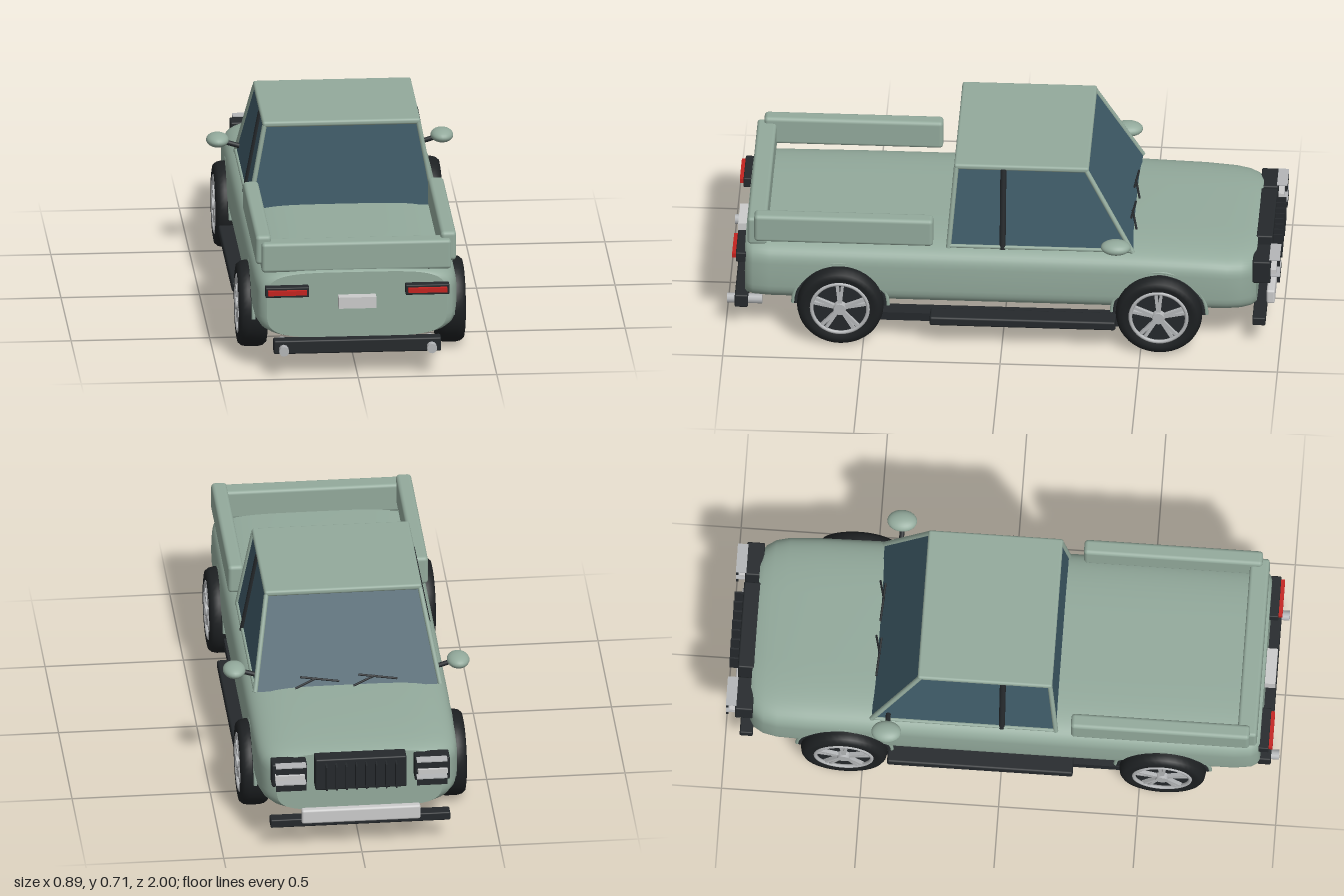
import * as THREE from 'three';
import { RoundedBoxGeometry } from 'three/addons/geometries/RoundedBoxGeometry.js';

const mat = (color, side = THREE.FrontSide) => new THREE.MeshStandardMaterial({ color, side });
const PAINT = mat(0x93aa9c);
const GLASS = mat(0x3f5b68);
const DARK = mat(0x25292c);
const TIRE = mat(0x1d2022, THREE.DoubleSide);
const METAL = mat(0xb4b6b8);
const LIGHT = mat(0xcfcfcb);
const RED = mat(0xc4231f);

export function createModel() {
  const model = new THREE.Group();
  model.name = 'pickupTruck';

  const add = (name, geometry, material, parent = model) => {
    const mesh = new THREE.Mesh(geometry, material);
    mesh.name = name;
    parent.add(mesh);
    return mesh;
  };
  // Box given by its extents on each axis; r rounds the edges
  const box = (name, [x0, x1], [y0, y1], [z0, z1], material, r = 0) => {
    const s = [x1 - x0, y1 - y0, z1 - z0];
    const g = r ? new RoundedBoxGeometry(...s, 3, r) : new THREE.BoxGeometry(...s);
    const m = add(name, g, material);
    m.position.set((x0 + x1) / 2, (y0 + y1) / 2, (z0 + z1) / 2);
    return m;
  };
  // The same box on both sides
  const pair = (name, [x0, x1], y, z, material, r) => {
    box(name, [x0, x1], y, z, material, r);
    box(name, [-x1, -x0], y, z, material, r);
  };
  // Round bar between two points
  const bar = (name, a, b, r, material) => {
    const p = new THREE.Vector3(...a), q = new THREE.Vector3(...b);
    const m = add(name, new THREE.CylinderGeometry(r, r, p.distanceTo(q), 10), material);
    m.position.copy(p).lerp(q, 0.5);
    m.quaternion.setFromUnitVectors(new THREE.Vector3(0, 1, 0), q.sub(p).normalize());
    return m;
  };

  add('body', bodyGeometry(), PAINT);

  // Cab: tapered glass block, roof, pillars
  const lo = { y: 0.385, x: 0.335, rear: 0.195, nose: -0.47 };
  const hi = { y: 0.69, x: 0.278, rear: 0.17, nose: -0.3 };
  const glass = new THREE.BoxGeometry(2, 2, 2);
  const gp = glass.attributes.position;
  for (let i = 0; i < gp.count; i++) {
    const e = gp.getY(i) > 0 ? hi : lo;
    gp.setXYZ(i, gp.getX(i) * e.x, e.y, gp.getZ(i) > 0 ? e.rear : e.nose);
  }
  glass.computeVertexNormals();
  add('cabGlass', glass, GLASS);
  box('roof', [-0.285, 0.285], [0.684, 0.706], [-0.308, 0.178], PAINT, 0.009);
  for (const s of [-1, 1]) {
    for (const end of ['rear', 'nose']) {
      bar('cornerPillar', [s * lo.x, lo.y, lo[end]], [s * hi.x, hi.y, hi[end]], 0.009, PAINT);
    }
    bar('doorPillar', [s * lo.x, lo.y, 0], [s * hi.x, hi.y, 0], 0.011, DARK);
    bar('beltTrim', [s * 0.335, 0.393, 0.195], [s * 0.335, 0.393, -0.47], 0.007, PAINT);

    // Side mirrors
    const mirror = add('mirror', new THREE.SphereGeometry(1, 24, 16), PAINT);
    mirror.scale.set(0.041, 0.025, 0.054);
    mirror.position.set(s * 0.405, 0.45, -0.412);
    bar('mirrorArm', [s * 0.325, 0.425, -0.41], [s * 0.39, 0.445, -0.41], 0.009, DARK);
  }
  // Wipers resting on the windscreen
  for (const x of [-0.02, 0.19]) {
    bar('wiperArm', [x, 0.395, -0.475], [x - 0.08, 0.425, -0.457], 0.004, DARK);
    bar('wiperBlade', [x - 0.02, 0.43, -0.455], [x - 0.16, 0.412, -0.464], 0.004, DARK);
  }

  // Cargo bed walls
  pair('bedSide', [0.306, 0.362], [0.4, 0.509], [0.25, 0.895], PAINT, 0.014);
  box('tailgate', [-0.342, 0.342], [0.377, 0.487], [0.85, 0.92], PAINT, 0.012);

  // Running boards
  pair('runningBoard', [0.33, 0.402], [0.092, 0.127], [-0.41, 0.26], DARK, 0.008);
  pair('sill', [0.3, 0.36], [0.086, 0.118], [-0.42, 0.44], DARK);

  // Tail end: bumper, exhausts, lamps, plate
  box('rearBumper', [-0.302, 0.302], [0.084, 0.135], [0.92, 0.968], DARK, 0.006);
  for (const s of [-1, 1]) {
    bar('exhaust', [s * 0.267, 0.103, 0.87], [s * 0.267, 0.103, 0.997], 0.018, METAL);
  }
  pair('tailLampHousing', [0.174, 0.332], [0.296, 0.334], [0.925, 0.962], DARK, 0.004);
  pair('tailLamp', [0.183, 0.323], [0.308, 0.325], [0.955, 0.976], RED);
  box('rearPlate', [-0.068, 0.068], [0.252, 0.294], [0.925, 0.968], LIGHT);

  // Nose: bumper, grille, headlamps
  box('frontBumper', [-0.325, 0.325], [0.085, 0.117], [-0.947, -0.9], DARK, 0.005);
  box('bumperGuard', [-0.215, 0.215], [0.11, 0.165], [-0.975, -0.945], LIGHT, 0.008);
  box('grille', [-0.165, 0.165], [0.24, 0.365], [-0.965, -0.905], DARK, 0.006);
  for (let i = 0; i < 8; i++) {
    const x = -0.126 + i * 0.036;
    box('grilleBar', [x - 0.003, x + 0.003], [0.255, 0.35], [-0.998, -0.96], DARK);
  }
  pair('headlampHousing', [0.195, 0.322], [0.262, 0.352], [-0.965, -0.9], DARK, 0.006);
  pair('headlamp', [0.205, 0.312], [0.298, 0.316], [-0.985, -0.96], LIGHT);
  for (const y of [0.273, 0.341]) {
    pair('headlampTrim', [0.2, 0.31], [y - 0.012, y + 0.012], [-0.998, -0.988], DARK);
    pair('headlampEdge', [0.2, 0.31], [y + 0.012, y + 0.016], [-0.998, -0.96], METAL);
  }

  // Wheels with their arches
  for (const s of [-1, 1]) {
    for (const z of [0.583, -0.566]) {
      const wheel = makeWheel(add);
      wheel.position.set(s * 0.357, 0.156, z);
      if (s < 0) wheel.rotation.y = Math.PI;
      model.add(wheel);
      const arch = (name, radius, tube, x, material) => {
        const m = add(name, new THREE.TorusGeometry(radius, tube, 8, 32, Math.PI), material);
        m.rotation.y = Math.PI / 2;
        m.position.set(s * x, 0.15, z);
      };
      arch('archLip', 0.171, 0.007, 0.36, PAINT);
      arch('archLiner', 0.16, 0.01, 0.358, DARK);
    }
  }
  return model;
}

// Body shell: superellipse sections lofted from tail to nose, with flat ends
function bodyGeometry() {
  const sections = [ // z, half width, top
    [0.93, 0.325, 0.378], [0.922, 0.343, 0.384], [0.9, 0.357, 0.39], [0.84, 0.366, 0.394],
    [0.5, 0.369, 0.396], [0, 0.369, 0.396], [-0.45, 0.369, 0.396], [-0.7, 0.367, 0.388],
    [-0.81, 0.363, 0.38], [-0.86, 0.352, 0.375], [-0.895, 0.33, 0.369], [-0.912, 0.3, 0.362],
  ];
  const n = 64, bottom = 0.133, pos = [], index = [];
  const pw = (v) => Math.sign(v) * Math.abs(v) ** 0.45;
  const ring = ([z, w, top]) => {
    for (let j = 0; j < n; j++) {
      const a = (j / n) * Math.PI * 2;
      pos.push(w * pw(Math.cos(a)), (top + bottom) / 2 + ((top - bottom) / 2) * pw(Math.sin(a)), z);
    }
  };
  sections.forEach(ring);
  for (let i = 0; i < sections.length - 1; i++) {
    for (let j = 0; j < n; j++) {
      const a = i * n + j, b = i * n + (j + 1) % n;
      index.push(a, a + n, b, b, a + n, b + n);
    }
  }
  for (const [s, flip] of [[sections[0], false], [sections.at(-1), true]]) {
    const start = pos.length / 3;
    ring(s);
    pos.push(0, (s[2] + bottom) / 2, s[0]);
    for (let j = 0; j < n; j++) {
      const a = start + j, b = start + (j + 1) % n;
      index.push(start + n, flip ? b : a, flip ? a : b);
    }
  }
  const g = new THREE.BufferGeometry();
  g.setAttribute('position', new THREE.Float32BufferAttribute(pos, 3));
  g.setIndex(index);
  g.computeVertexNormals();
  return g;
}

// Wheel on the x axis, outer face toward +x
function makeWheel(add) {
  const wheel = new THREE.Group();
  wheel.name = 'wheel';
  const profile = [
    [0.104, -0.046], [0.125, -0.053], [0.142, -0.05], [0.152, -0.038], [0.156, -0.02],
    [0.156, 0.02], [0.152, 0.038], [0.142, 0.05], [0.125, 0.053], [0.104, 0.046],
  ].map(([r, y]) => new THREE.Vector2(r, y));
  const onAxle = (name, geometry, material, x = 0) => {
    const m = add(name, geometry, material, wheel);
    m.rotation.z = -Math.PI / 2;
    m.position.x = x;
  };
  onAxle('tire', new THREE.LatheGeometry(profile, 40), TIRE);
  onAxle('wheelDisc', new THREE.CylinderGeometry(0.105, 0.105, 0.07, 40), DARK);
  onAxle('hub', new THREE.CylinderGeometry(0.022, 0.026, 0.03, 20), METAL, 0.042);
  const rim = add('rim', new THREE.TorusGeometry(0.102, 0.007, 8, 40), METAL, wheel);
  rim.rotation.y = Math.PI / 2;
  rim.position.x = 0.046;
  // Five split spokes
  for (let i = 0; i < 5; i++) {
    for (const d of [-0.1, 0.1]) {
      const spoke = new THREE.Group();
      spoke.name = 'spoke';
      spoke.rotation.x = (i / 5) * Math.PI * 2 + d;
      add('spokeBar', new THREE.BoxGeometry(0.014, 0.09, 0.011), METAL, spoke).position.set(0.042, 0.058, 0);
      wheel.add(spoke);
    }
  }
  return wheel;
}
